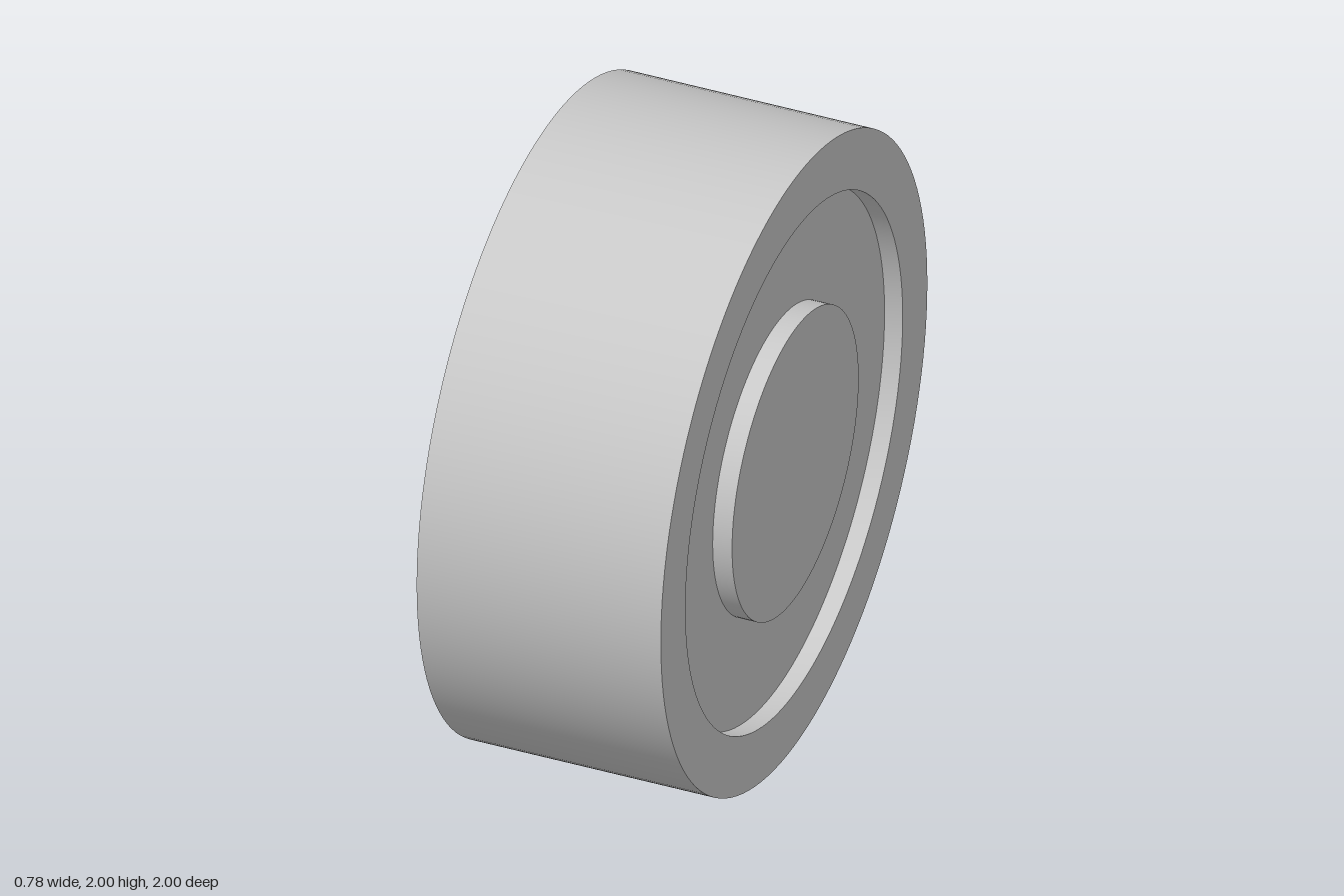
import * as THREE from 'three';
import { toCreasedNormals } from 'three/addons/utils/BufferGeometryUtils.js';

const R = 1;            // wheel radius
const HALF = 0.385;     // half width of the rim
const RECESS_R = 0.815; // radius of the side recess
const WEB = 0.328;      // half width at the recessed web
const HUB_R = 0.475;
const HUB = 0.389;      // hub stands slightly proud of the rim

export function createModel() {
  const grey = new THREE.MeshStandardMaterial({ color: 0xcccccc });
  grey.name = 'light grey';

  // Revolve a [radius, offset] profile with sharp edges
  const revolve = (name, profile) => {
    const points = profile.map(([r, y]) => new THREE.Vector2(r, y));
    const geometry = toCreasedNormals(new THREE.LatheGeometry(points, 128), 0.5);
    const mesh = new THREE.Mesh(geometry, grey);
    mesh.name = name;
    return mesh;
  };

  const wheel = new THREE.Group();
  wheel.name = 'wheel';

  // Rim: tread, side rings and the inner walls of both recesses
  wheel.add(revolve('rim', [
    [RECESS_R, -WEB], [RECESS_R, -HALF], [R, -HALF],
    [R, HALF], [RECESS_R, HALF], [RECESS_R, WEB],
  ]));

  // Recessed web and raised hub, the same on both sides
  for (const side of ['left', 'right']) {
    const face = new THREE.Group();
    face.name = side + 'Face';
    face.add(
      revolve(side + 'Web', [[RECESS_R, WEB], [HUB_R, WEB]]),
      revolve(side + 'Hub', [[HUB_R, WEB], [HUB_R, HUB], [0, HUB]]),
    );
    if (side === 'right') face.rotation.x = Math.PI;
    wheel.add(face);
  }

  // Axle along x, standing on the ground
  wheel.rotation.z = -Math.PI / 2;
  wheel.position.y = R;

  const model = new THREE.Group();
  model.name = 'wheelModel';
  model.add(wheel);
  return model;
}
